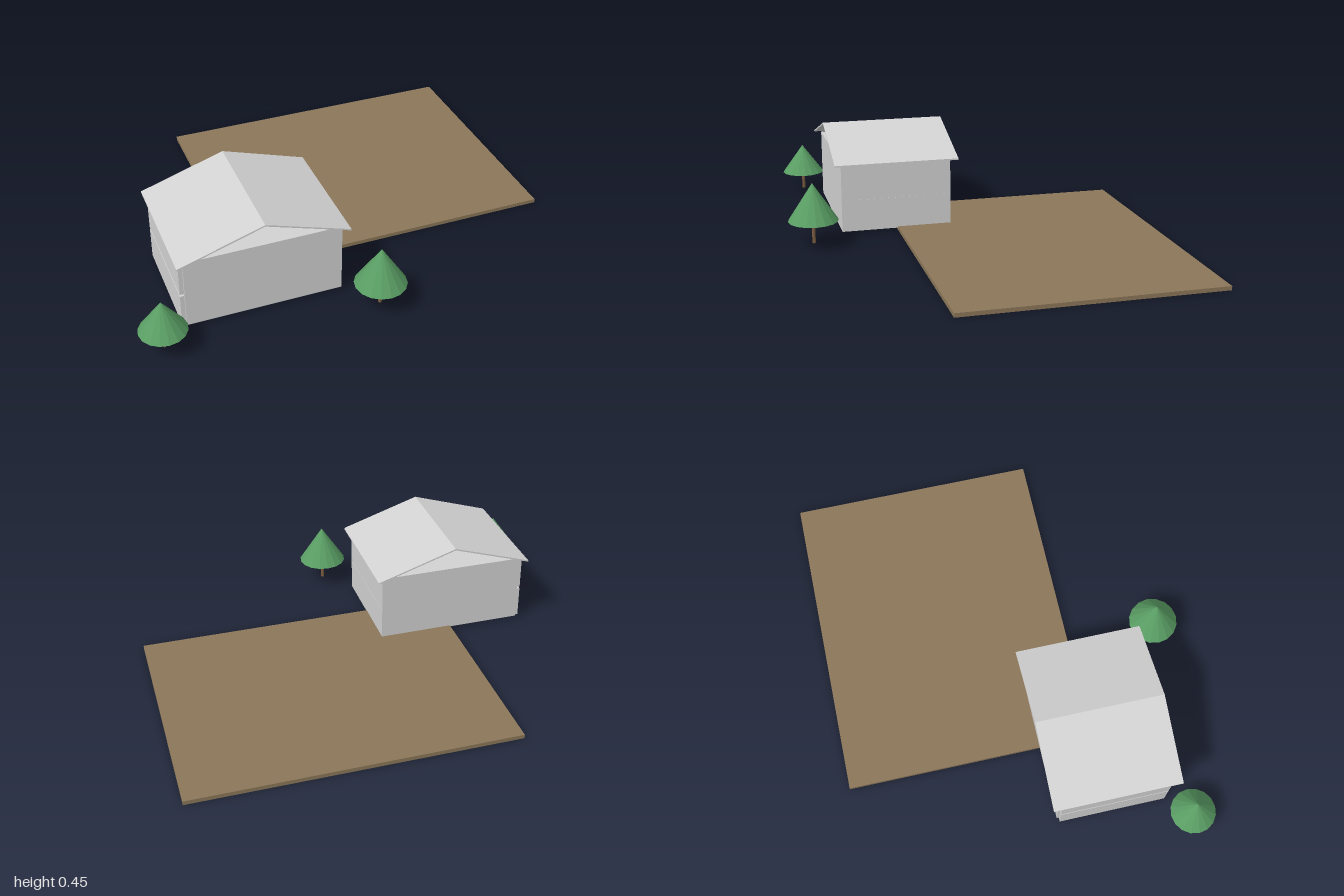
import * as THREE from 'three';

export function createModel() {
  const model = new THREE.Group();
  const mat = (name, color) => {
    const m = new THREE.MeshStandardMaterial({ color });
    m.name = name;
    return m;
  };
  const grey = mat('light grey panel', 0xd2d2d2);
  const soil = mat('soil brown', 0x8b7659);
  const leaf = mat('leaf green', 0x5a9e64);
  const bark = mat('bark brown', 0x7a5c3e);
  leaf.flatShading = true;

  // Box given by its min and max on each axis
  const box = (parent, name, material, [x0, x1], [y0, y1], [z0, z1]) => {
    const mesh = new THREE.Mesh(new THREE.BoxGeometry(x1 - x0, y1 - y0, z1 - z0), material);
    mesh.position.set((x0 + x1) / 2, (y0 + y1) / 2, (z0 + z1) / 2);
    mesh.name = name;
    parent.add(mesh);
  };

  // Plot of land
  box(model, 'ground', soil, [-0.44, 1], [0, 0.018], [-0.832, 0.314]);

  // House: two long walls, two storeys of side panels, slabs above each storey
  const house = new THREE.Group();
  house.name = 'house';
  model.add(house);
  const wallX = [-0.78, -0.096], innerZ = [0.073, 0.564];
  box(house, 'frontWall', grey, wallX, [0.012, 0.333], [0.564, 0.574]);
  box(house, 'backWall', grey, wallX, [0.012, 0.333], [0.063, 0.073]);
  for (const [storey, y0, y1] of [['lower', 0.012, 0.16], ['upper', 0.17, 0.322]]) {
    box(house, storey + 'RightPanel', grey, [-0.798, -0.78], [y0, y1], innerZ);
    box(house, storey + 'LeftPanel', grey, [-0.114, -0.096], [y0, y1], innerZ);
    box(house, storey + 'CeilingSlab', grey, [-0.78, -0.097], [y1, y1 + 0.01], innerZ);
  }

  // Thin gabled roof, open at both ends
  const t = 0.007;
  const roofShape = new THREE.Shape([
    [-0.812, 0.327], [-0.44, 0.447], [-0.068, 0.327],
    [-0.068, 0.327 + t], [-0.44, 0.447 + t], [-0.812, 0.327 + t],
  ].map(([x, y]) => new THREE.Vector2(x, y)));
  const roof = new THREE.Mesh(
    new THREE.ExtrudeGeometry(roofShape, { depth: 0.575, bevelEnabled: false }), grey);
  roof.position.z = 0.03;
  roof.name = 'roof';
  house.add(roof);

  // Conical trees
  const addTree = (name, x, z, radius, skirt, top) => {
    const tree = new THREE.Group();
    tree.name = name;
    tree.position.set(x, 0, z);
    const trunk = new THREE.Mesh(new THREE.CylinderGeometry(0.007, 0.008, skirt - 0.01, 10), bark);
    trunk.position.y = (skirt + 0.01) / 2;
    trunk.name = 'trunk';
    const crown = new THREE.Mesh(new THREE.ConeGeometry(radius, top - skirt, 16), leaf);
    crown.position.y = (skirt + top) / 2;
    crown.name = 'crown';
    tree.add(trunk, crown);
    model.add(tree);
  };
  addTree('smallTree', -0.898, 0.66, 0.102, 0.099, 0.239);
  addTree('largeTree', 0.02, 0.719, 0.113, 0.115, 0.288);

  return model;
}
